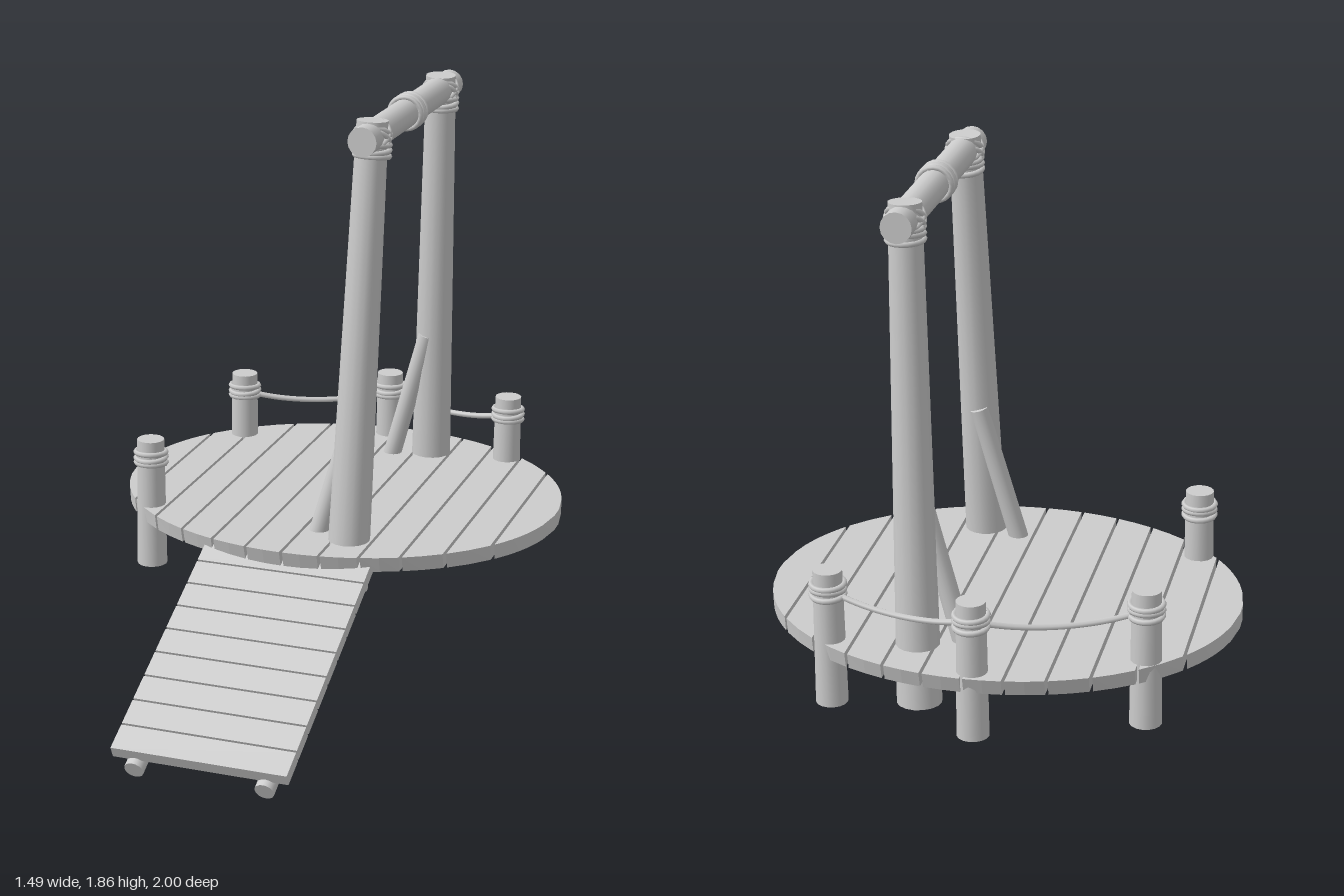
import * as THREE from 'three';

const wood = new THREE.MeshStandardMaterial({ color: 0xcccccc });
wood.name = 'pale grey wood';

const V = (x, y, z) => new THREE.Vector3(x, y, z);
const UP = V(0, 1, 0);

function add(parent, geometry, name) {
  const mesh = new THREE.Mesh(geometry, wood);
  mesh.name = name;
  parent.add(mesh);
  return mesh;
}

// Tapered log between two points
function log(parent, a, b, ra, rb, name) {
  const dir = b.clone().sub(a);
  const mesh = add(parent, new THREE.CylinderGeometry(rb, ra, dir.length(), 16), name);
  mesh.position.copy(a).add(b).multiplyScalar(0.5);
  mesh.quaternion.setFromUnitVectors(UP, dir.normalize());
}

// Stack of rope rings around an axis
function coil(parent, centre, axis, radius, count, name) {
  const dir = axis.clone().normalize();
  for (let i = 0; i < count; i++) {
    const ring = add(parent, new THREE.TorusGeometry(radius, 0.009, 6, 20), name);
    ring.position.copy(centre).addScaledVector(dir, (i - (count - 1) / 2) * 0.018);
    ring.quaternion.setFromUnitVectors(V(0, 0, 1), dir);
    ring.rotateX(i % 2 ? 0.07 : -0.07);
  }
}

// Oval deck of planks running front to back
function buildDeck() {
  const deck = new THREE.Group();
  deck.name = 'deck';
  const rx = 0.745, rz = 0.633, cz = -0.365, count = 12, w = 2 * rx / count, gap = 0.005;
  const half = x => rz * Math.sqrt(Math.max(0, 1 - (x / rx) ** 2));
  for (let i = 0; i < count; i++) {
    const x0 = -rx + i * w + (i ? gap : 0);
    const x1 = -rx + (i + 1) * w - (i < count - 1 ? gap : 0);
    const outer = i === 0 || i === count - 1;
    const steps = outer ? 8 : 2;
    const front = [], back = [];
    for (let s = 0; s <= steps; s++) {
      const x = x0 + (x1 - x0) * s / steps;
      const h = Math.max(half(x), 0.03);
      front.push(new THREE.Vector2(x, h));
      back.unshift(new THREE.Vector2(x, -h));
    }
    const geo = new THREE.ExtrudeGeometry(new THREE.Shape([...front, ...back]), { depth: 0.052, bevelEnabled: false });
    geo.rotateX(Math.PI / 2);
    // the underside is drawn in slightly
    const p = geo.attributes.position;
    for (let k = 0; k < p.count; k++) if (p.getY(k) < -0.01) p.setZ(k, p.getZ(k) * 0.975);
    geo.computeVertexNormals();
    add(deck, geo, 'deckPlank').position.set(0, 0.492, cz);
  }
  return deck;
}

// Sloping ramp of cross planks on two round rails
function buildRamp() {
  const ramp = new THREE.Group();
  ramp.name = 'ramp';
  for (const x of [-0.21, 0.21]) log(ramp, V(x, 0, 0), V(x, 0, -0.9), 0.031, 0.031, 'rampRail');
  for (let i = 0; i < 9; i++) {
    const plank = add(ramp, new THREE.BoxGeometry(0.565, 0.04, 0.092), 'rampPlank');
    plank.position.set(0, 0.042, -0.068 - i * 0.099);
  }
  ramp.position.set(0, 0.032, 0.985);
  ramp.rotation.x = Math.atan(0.463);
  return ramp;
}

// Short railing posts with rope coils and sagging ropes
function buildRailing() {
  const railing = new THREE.Group();
  railing.name = 'railing';
  const posts = [[-0.51, -0.76], [-0.02, -0.94], [0.45, -0.82], [-0.555, 0]];
  for (const [x, z] of posts) {
    log(railing, V(x - 0.003, 0.28, z), V(x, 0.72, z), 0.05, 0.045, 'railingPost');
    coil(railing, V(x, 0.657, z), UP, 0.05, 3, 'postRope');
  }
  for (let i = 0; i < 2; i++) {
    const [ax, az] = posts[i], [bx, bz] = posts[i + 1];
    const pts = [0, 0.25, 0.5, 0.75, 1].map(t =>
      V(ax + (bx - ax) * t, 0.65 - 0.13 * t * (1 - t), az + (bz - az) * t));
    add(railing, new THREE.TubeGeometry(new THREE.CatmullRomCurve3(pts), 20, 0.01, 6), 'sagRope');
  }
  return railing;
}

// Tall leaning posts, crossbeam, braces and lashings
function buildGantry() {
  const gantry = new THREE.Group();
  gantry.name = 'gantry';
  const legs = [
    { foot: V(0.165, 0.325, 0.095), top: V(0.212, 1.855, 0.005), brace: [V(0.015, 0.36, 0.045), V(0.175, 0.94, 0.012)] },
    { foot: V(0.175, 0.3, -0.805), top: V(0.212, 1.855, -0.73), brace: [V(0.015, 0.36, -0.755), V(0.175, 0.94, -0.738)] },
  ];
  for (const { foot, top, brace } of legs) {
    log(gantry, foot, top, 0.07, 0.05, 'tallPost');
    log(gantry, brace[0], brace[1], 0.032, 0.03, 'brace');
    const axis = top.clone().sub(foot);
    coil(gantry, V(top.x, 1.762, top.z), axis, 0.054, 3, 'jointRope');
    // crossed lashing over the joint
    for (const s of [-1, 1]) coil(gantry, V(top.x, 1.805, top.z), V(0, 1, s * 0.8), 0.054, 2, 'jointLashing');
  }
  log(gantry, V(0.212, 1.807, 0.11), V(0.212, 1.807, -0.835), 0.047, 0.047, 'crossbeam');
  coil(gantry, V(0.212, 1.807, -0.36), V(0, 0, 1), 0.052, 4, 'beamRope');
  return gantry;
}

export function createModel() {
  const model = new THREE.Group();
  model.name = 'woodenPlatform';
  model.add(buildDeck(), buildRamp(), buildRailing(), buildGantry());
  return model;
}
